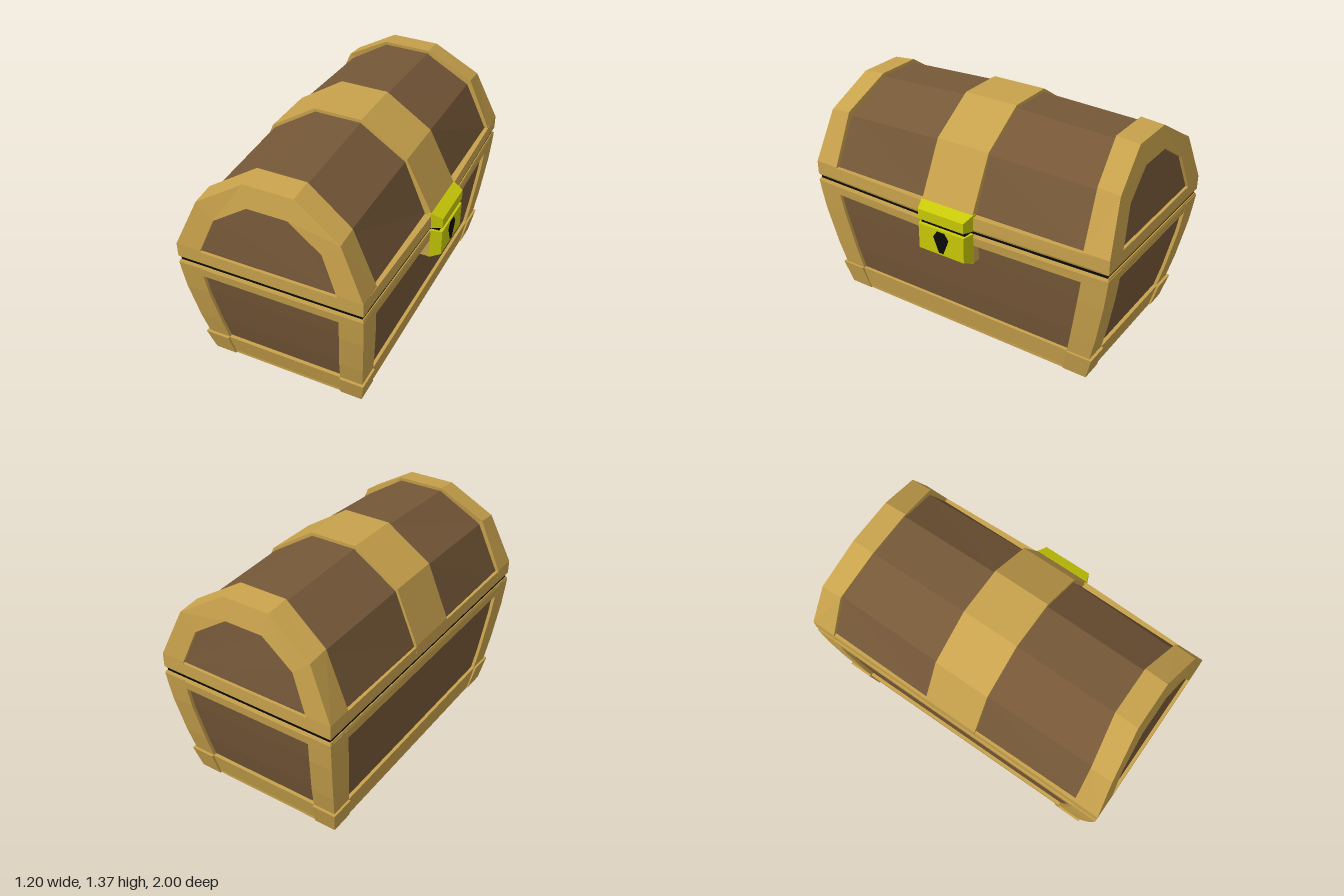
import * as THREE from 'three';

const mat = (color) => new THREE.MeshStandardMaterial({ color, flatShading: true });

// Solid through matching loops of [x, y, z] points, capped at both ends, facing outwards
function loft(sections) {
  const tris = [];
  const n = sections[0].length;
  for (let s = 0; s + 1 < sections.length; s++) {
    const a = sections[s], b = sections[s + 1];
    for (let i = 0; i < n; i++) {
      const j = (i + 1) % n;
      tris.push([a[i], a[j], b[j]], [a[i], b[j], b[i]]);
    }
  }
  const first = sections[0], last = sections[sections.length - 1];
  for (let i = 1; i + 1 < n; i++) {
    tris.push([first[0], first[i + 1], first[i]], [last[0], last[i], last[i + 1]]);
  }
  // a negative volume means the faces point inwards
  const V = (p) => new THREE.Vector3(...p);
  let volume = 0;
  const o = V(first[0]);
  for (const [a, b, c] of tris) volume += V(a).sub(o).dot(V(b).sub(o).cross(V(c).sub(o)));
  if (volume < 0) tris.forEach((t) => t.reverse());
  const g = new THREE.BufferGeometry();
  g.setAttribute('position', new THREE.Float32BufferAttribute(tris.flat(2), 3));
  g.computeVertexNormals();
  return g;
}

// Linear lookup in [[key, value], ...]
function lookup(table, k) {
  for (let i = 1; i < table.length; i++) {
    const [k0, v0] = table[i - 1], [k1, v1] = table[i];
    if (k <= k1) return v0 + ((v1 - v0) * Math.max(0, k - k0)) / (k1 - k0);
  }
  return table[table.length - 1][1];
}

// Horizontal rectangle, optionally pushed out in the middle of the latch side
const rect = (y, hx, hz, bulge = 0) => [
  [-hx, y, -hz], [-hx, y, hz], [hx, y, hz],
  [hx + bulge, y, 0.175], [hx + bulge, y, -0.175], [hx, y, -hz],
];

// L-shaped corner section: outer corner (hx, hz), arms reaching to ix and iz
const corner = (y, hx, hz, ix, iz, sx, sz, t = 0.05) => [
  [hx, hz], [ix, hz], [ix, hz - t], [hx - t, hz - t], [hx - t, iz], [hx, iz],
].map(([x, z]) => [x * sx, y, z * sz]);

// Arch section from right-half points, mirrored; zAt gives the depth of each point
const arch = (half, zAt, bulge = 0) => [
  ...half.map(([x, y], i) => [x + (i < 2 ? bulge : 0), y, zAt(y, i)]),
  ...half.map(([x, y], i) => [-x, y, zAt(y, i)]).reverse(),
];

export function createModel() {
  const model = new THREE.Group();
  const chest = new THREE.Group();
  chest.name = 'chest';
  chest.position.x = -0.045;
  model.add(chest);

  const gold = mat(0xc8a24c), wood = mat(0x765838), brass = mat(0xc8c808), black = mat(0x0a0a0a);
  const add = (name, geometry, material, parent = chest) => {
    const m = new THREE.Mesh(geometry, material);
    m.name = name;
    parent.add(m);
    return m;
  };

  // Lower box: [y, half width, half length, inner edge of post in x, in z]
  const levels = [
    [0.1, 0.49, 0.875, 0.355, 0.735],
    [0.3, 0.517, 0.925, 0.375, 0.775],
    [0.55, 0.544, 0.975, 0.402, 0.82],
    [0.68, 0.553, 0.993, 0.41, 0.84],
    [0.74, 0.556, 1.0, 0.412, 0.845],
  ];
  add('bodyPanels', loft(levels.map(([y, hx, hz]) => rect(y, hx - 0.02, hz - 0.02))), wood);
  add('bodyRim', loft([rect(0.68, 0.552, 0.992, 0.025), rect(0.735, 0.556, 1, 0.027),
    rect(0.752, 0.55, 0.994, 0.027)]), gold);
  add('baseRail', loft([rect(0.02, 0.478, 0.858), rect(0.15, 0.497, 0.89)]), gold);
  for (const sx of [-1, 1]) for (const sz of [-1, 1]) {
    add('cornerPost', loft(levels.map((l) => corner(...l, sx, sz))), gold);
    add('cornerFoot', loft([corner(0, 0.481, 0.863, 0.347, 0.715, sx, sz),
      corner(0.15, 0.51, 0.905, 0.362, 0.75, sx, sz)]), gold);
  }

  // Underside: frame around a recessed panel
  const oblong = (hx, hz, C) => new C([[-hx, -hz], [hx, -hz], [hx, hz], [-hx, hz]]
    .map((p) => new THREE.Vector2(...p)));
  const frame = oblong(0.475, 0.855, THREE.Shape);
  frame.holes.push(oblong(0.35, 0.72, THREE.Path));
  const bottom = new THREE.ExtrudeGeometry(frame, { depth: 0.021, bevelEnabled: false });
  add('bottomFrame', bottom.rotateX(-Math.PI / 2), gold);
  const floor = add('bottomPanel', new THREE.BoxGeometry(0.72, 0.02, 1.46), wood);
  floor.position.y = 0.026;

  // Dark gap between body and lid
  add('lidGap', loft([rect(0.735, 0.545, 0.988, 0.025), rect(0.79, 0.545, 0.988, 0.025)]), black);

  // Lid
  const lid = new THREE.Group();
  lid.name = 'lid';
  chest.add(lid);
  add('lidRim', loft([rect(0.772, 0.55, 0.993, 0.027), rect(0.785, 0.555, 0.998, 0.027),
    rect(0.86, 0.555, 0.978, 0.025)]), gold, lid);

  const woodMid = [[0.54, 0.78], [0.54, 0.865], [0.41, 1.172], [0.14, 1.348]];
  const woodEnd = [[0.535, 0.78], [0.535, 0.86], [0.4, 1.15], [0.14, 1.323]];
  add('lidPanels', loft([
    arch(woodEnd, () => -0.85), arch(woodMid, () => -0.17),
    arch(woodMid, () => 0.17), arch(woodEnd, () => 0.85),
  ]), wood, lid);

  const bandArch = [[0.556, 0.78], [0.556, 0.87], [0.42, 1.187], [0.145, 1.367]];
  add('middleBand', loft([-0.172, 0.172].map((z) => arch(bandArch, () => z, 0.026))), gold, lid);

  // End bands: arched frame leaning inwards, with a recessed panel
  const lean = [[0.775, 1], [0.865, 1], [1.17, 0.967], [1.335, 0.928]];
  const innerZ = [0.845, 0.845, 0.835, 0.787];
  const endInner = [[0.556, 0.78], [0.556, 0.865], [0.418, 1.178], [0.145, 1.345]];
  const endOuter = [[0.556, 0.78], [0.556, 0.865], [0.417, 1.165], [0.145, 1.332]];
  const opening = [[0.41, 0.855], [0.403, 0.87], [0.315, 1.08], [0.117, 1.21]];
  for (const s of [-1, 1]) {
    const face = (d) => (y) => s * (lookup(lean, y) - d);
    add('endBand', loft([
      arch(endInner, (y, i) => s * innerZ[i]), arch(endOuter, face(0)),
      arch(opening, face(0)), arch(opening, face(0.022)),
    ]), gold, lid);
    add('endPanel', loft([arch(opening, face(0.03)), arch(opening, face(0.018))]), wood, lid);
  }

  // Latch on the +x side
  const latch = new THREE.Group();
  latch.name = 'latch';
  chest.add(latch);
  const plate = (x, y0, y1, hz) => [[x, y0, -hz], [x, y1, -hz], [x, y1, hz], [x, y0, hz]];
  add('latchBacking', loft([plate(0.5, 0.565, 0.745, 0.174), plate(0.582, 0.565, 0.745, 0.174)]), gold, latch);
  add('latchLower', loft([plate(0.578, 0.562, 0.758, 0.176), plate(0.645, 0.592, 0.752, 0.155)]), brass, latch);
  add('latchUpper', loft([plate(0.56, 0.775, 0.875, 0.176), plate(0.582, 0.775, 0.875, 0.176),
    plate(0.645, 0.782, 0.845, 0.155)]), brass, latch);
  add('latchGap', loft([plate(0.54, 0.74, 0.79, 0.165), plate(0.625, 0.745, 0.79, 0.15)]), black, latch);
  const hole = [[0.025, 0.74], [0.052, 0.7], [0.015, 0.605], [-0.015, 0.605], [-0.052, 0.7], [-0.025, 0.74]];
  add('keyhole', loft([0.635, 0.648].map((x) => hole.map(([z, y]) => [x, y, z]))), black, latch);

  return model;
}
